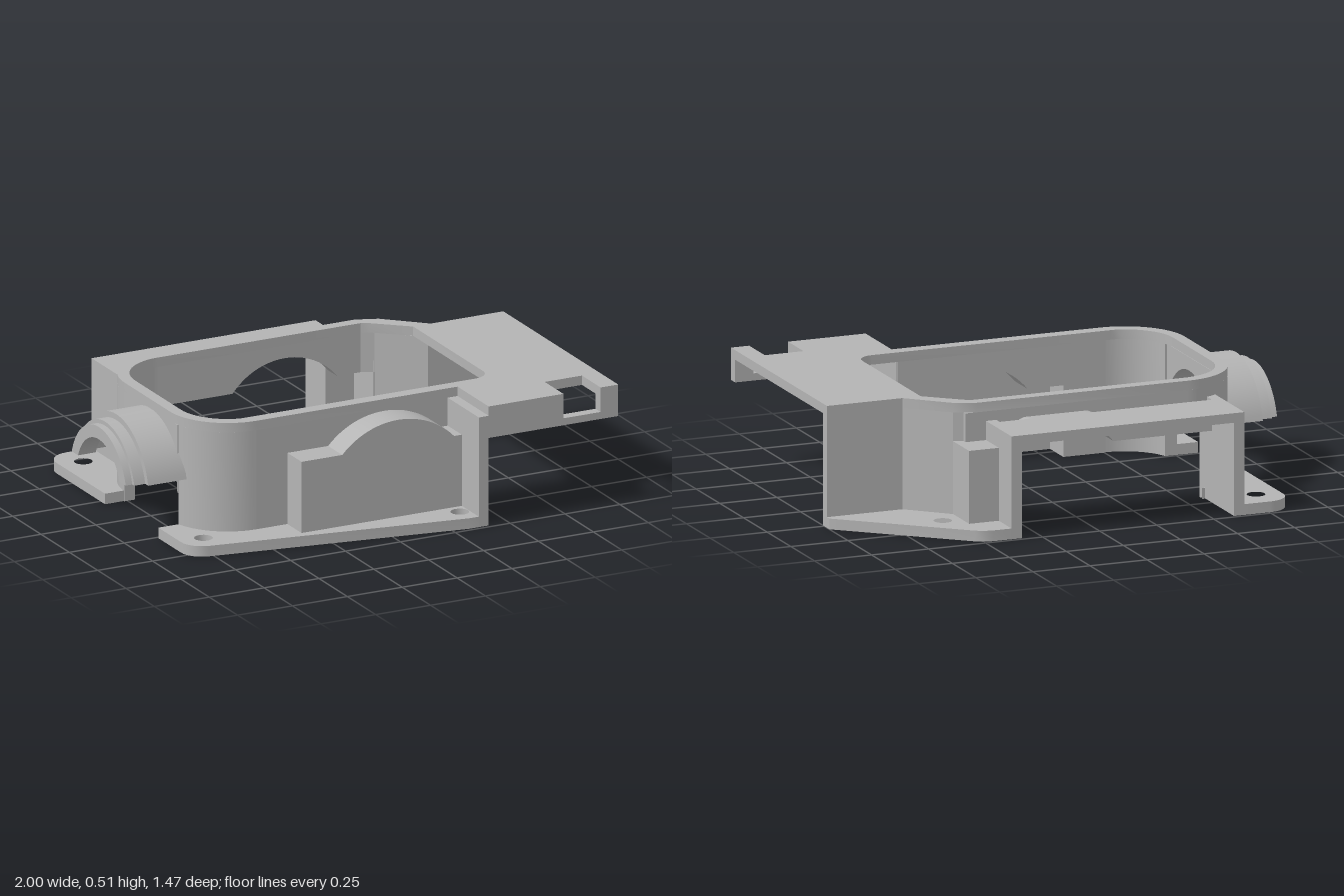
import * as THREE from 'three';
import { toCreasedNormals } from 'three/addons/utils/BufferGeometryUtils.js';

const H = 0.51;      // top of the housing
const UNDER = 0.47;  // underside of the top plate
const PI = Math.PI;

// Points along an arc about (cx, cy)
function arc(cx, cy, r, a0, a1, n = 14) {
  return Array.from({ length: n + 1 }, (_, i) => {
    const a = a0 + (a1 - a0) * i / n;
    return [cx + r * Math.cos(a), cy + r * Math.sin(a)];
  });
}

const flip = (pts) => pts.map(([a, b]) => new THREE.Vector2(a, b));

function extrude(shape, depth) {
  return new THREE.ExtrudeGeometry(shape, { depth, bevelEnabled: false, curveSegments: 12 });
}

export function createModel() {
  const group = new THREE.Group();
  const grey = new THREE.MeshStandardMaterial({ color: 0xb4b4b4 });

  function add(name, geometry) {
    const mesh = new THREE.Mesh(toCreasedNormals(geometry, 0.45), grey);
    mesh.name = name;
    group.add(mesh);
  }
  // Plan outline in (x, z), raised from y0 to y1
  function slab(name, pts, y0, y1, holes = []) {
    const toPlan = (p) => flip(p.map(([x, z]) => [x, -z]));
    const shape = new THREE.Shape(toPlan(pts));
    holes.forEach((h) => shape.holes.push(new THREE.Path(toPlan(h))));
    add(name, extrude(shape, y1 - y0).rotateX(-PI / 2).translate(0, y0, 0));
  }
  // Front outline in (x, y), running from z0 to z1
  function frontPanel(name, pts, z0, z1) {
    add(name, extrude(new THREE.Shape(flip(pts)), z1 - z0).translate(0, 0, z0));
  }
  // Side outline in (z, y), running from x0 to x1
  function sidePanel(name, pts, x0, x1) {
    const shape = new THREE.Shape(flip(pts.map(([z, y]) => [-z, y])));
    add(name, extrude(shape, x1 - x0).rotateY(PI / 2).translate(x0, 0, 0));
  }
  const rect = (x0, z0, x1, z1) => [[x0, z0], [x1, z0], [x1, z1], [x0, z1]];
  const hole = (x, z) => arc(x, z, 0.038, 0, 2 * PI, 24).slice(0, -1);

  // Rounded corners of the shell
  const CX = -0.505, CF = 0.2, CB = -0.205, RO = 0.26, RI = 0.21;
  const frontArc = (r, a0, a1) => arc(CX, CF, r, a0, a1);
  const backArc = (r, a0, a1) => arc(CX, CB, r, a0, a1);

  // Top plate with the large opening and the front notch
  slab('topPlate', [
    ...backArc(RO, PI * 1.5, PI), ...frontArc(RO, PI, PI / 2),
    [0.41, 0.46], [0.41, 0.735], [0.75, 0.735], [0.75, 0.57], [0.92, 0.57], [0.92, 0.735],
    [1, 0.735], [1, -0.28], [0.67, -0.28], [0.51, -0.43], [0.42, -0.465],
  ], UNDER, H, [[
    ...backArc(RI, PI * 1.5, PI), ...frontArc(RI, PI, PI / 2).map(([x, z]) => [x, Math.min(z, 0.405)]),
    ...arc(0.52, 0.335, 0.07, PI / 2, 0, 6), [0.59, -0.28], [0.45, -0.4], [0.42, -0.415],
  ]]);

  // Curved end corners of the shell
  const trimF = PI - Math.asin(0.06 / RO);
  const trimB = PI * 1.5 - Math.asin(0.095 / RO);
  slab('frontCornerWall', [...frontArc(RO, trimF, PI / 2), ...frontArc(RI, PI / 2, PI - Math.asin(0.06 / RI))], 0, UNDER);
  slab('backCornerWall', [...backArc(RO, trimB, PI), ...backArc(RI, PI, trimB)], 0, UNDER);
  slab('backCornerUpper', [...backArc(RO, PI * 1.5, trimB), ...backArc(RI, trimB, PI * 1.5)], 0.3, UNDER);

  // End wall with the arched outlet
  const GZ = 0.025, GY = 0.18, BORE = 0.234;
  sidePanel('outletWall', [
    [0.26, GY], [0.26, UNDER], [-0.21, UNDER], [-0.21, GY],
    ...arc(GZ, GY, BORE, PI, 0, 28),
  ], -0.763, -0.713);

  // Stepped half rings of the outlet
  [[-0.92, -0.745, 0.29, BORE], [-0.97, -0.92, 0.265, 0.195], [-1, -0.97, 0.248, 0.195]].forEach(([x0, x1, ro, ri]) => {
    const ao = Math.asin(0.07 / ro), ai = Math.asin(0.07 / ri);
    sidePanel('outletRing', [...arc(GZ, GY, ro, ao, PI - ao, 32), ...arc(GZ, GY, ri, PI - ai, ai, 32)], x0, x1);
  });

  // Arch over a shoulder: x runs left to right
  const AX = 0.075, AY = 0.11;
  function archLine(r, shoulder) {
    const a = Math.asin((shoulder - AY) / r);
    return arc(AX, AY, r, PI - a, a, 24);
  }
  const outerArch = archLine(0.35, 0.35);
  const innerArch = archLine(0.305, 0.3);

  // Front wall and its hollow arched bulge
  const recess = [[-0.32, 0], [-0.32, 0.3], ...innerArch, [0.405, 0.3]];
  const bulge = [[-0.365, 0.35], ...outerArch, [0.405, 0.35]];
  frontPanel('frontWall', [[CX, 0], ...recess, [0.405, UNDER], [CX, UNDER]], 0.405, 0.46);
  frontPanel('bulgeShell', [[-0.365, 0], ...recess, ...[...bulge].reverse()], 0.45, 0.545);
  frontPanel('bulgeFace', [[-0.365, 0], ...bulge, [0.405, 0]], 0.545, 0.585);

  // Cross wall beside the bulge, open to the recess
  sidePanel('crossWall', [
    [0.735, 0], [0.545, 0], [0.545, 0.3], [0.41, 0.3], [0.41, UNDER], [0.735, UNDER],
  ], 0.365, 0.41);

  // Hanging lip with its notch
  frontPanel('frontLip', [
    [0.41, 0.375], [1, 0.375], [1, H], [0.92, H], [0.92, 0.405], [0.75, 0.405], [0.75, H], [0.41, H],
  ], 0.69, 0.735);

  // Back wall above the open bay, and the groove floor behind it
  frontPanel('backWall', [
    [CX, 0.3], ...innerArch, [0.47, 0.3], [0.47, UNDER], [CX, UNDER],
  ], -0.465, -0.415);
  frontPanel('backGroove', [
    [-0.6, 0.3], ...innerArch, [0.38, 0.3], [0.38, 0.43], [0.335, 0.43], [0.335, 0.35],
    ...[...outerArch].reverse().map(([x, y]) => [x, Math.min(y, 0.43)]), [-0.6, 0.35],
  ], -0.5, -0.465);

  // Open bay at the back
  slab('bayRoof', rect(-0.64, -0.735, 0.38, -0.5), 0.39, 0.43);
  slab('bayEndWall', rect(-0.64, -0.735, -0.595, -0.425), 0, 0.43);
  slab('bayEndWall', rect(0.335, -0.735, 0.38, -0.56), 0, 0.43);
  slab('bayUpperWall', rect(0.335, -0.6, 0.38, -0.46), 0.3, 0.43);

  // Low hollow step beside the bay
  slab('stepWall', [
    [0.335, -0.6], [0.51, -0.6], [0.51, -0.43], [0.465, -0.39], [0.465, -0.56], [0.335, -0.56],
  ], 0, 0.35);
  slab('stepRoof', rect(0.37, -0.6, 0.51, -0.42), 0.3, 0.35);

  // Slanted wall and back wall of the open side
  slab('slantWall', [
    [1, -0.28], [0.67, -0.28], [0.51, -0.43], [0.47, -0.39], [0.635, -0.235], [1, -0.235],
  ], 0, UNDER);
  slab('slantUpper', [[0.42, -0.465], [0.51, -0.43], [0.47, -0.39], [0.42, -0.415]], 0.3, UNDER);

  // Mounting flanges with screw holes
  const F = 0.045;
  slab('frontFlange', [
    [-0.85, 0.26], ...arc(-0.755, 0.46, 0.095, PI, PI * 0.55, 8), [0.32, 0.735], [0.41, 0.735],
    [0.41, 0.56], [-0.34, 0.56], [-0.34, 0.44], ...frontArc(0.24, PI / 2, PI - Math.asin(0.06 / 0.24)),
  ], 0, F, [hole(-0.745, 0.455), hole(0.325, 0.645)]);
  slab('backFlange', [
    [-0.85, -0.21], ...arc(-0.755, -0.64, 0.095, PI, PI * 1.5, 8), [-0.62, -0.735],
    [-0.62, -0.43], ...backArc(0.24, PI * 1.4, PI + 0.02),
  ], 0, F, [hole(-0.745, -0.605)]);
  slab('cornerFlange', [
    [0.36, -0.735], [0.46, -0.735], [0.5, -0.728], [0.53, -0.71], [1, -0.305], [1, -0.26],
    [0.66, -0.26], [0.49, -0.42], [0.49, -0.58], [0.36, -0.58],
  ], 0, F, [hole(0.588, -0.51)]);

  return group;
}
